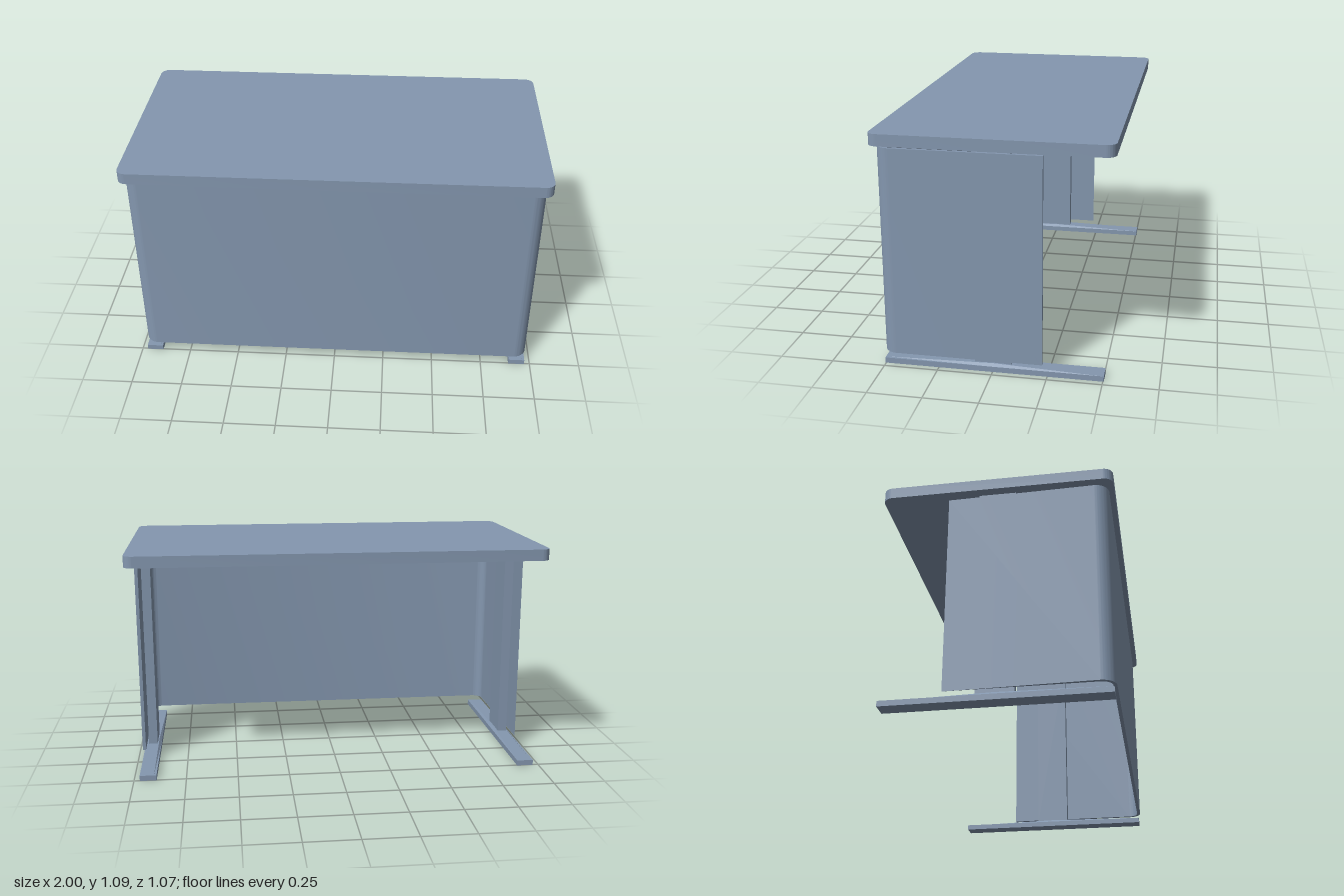
import * as THREE from 'three';
import { toCreasedNormals } from 'three/addons/utils/BufferGeometryUtils.js';

const material = new THREE.MeshStandardMaterial({ color: 0x8497af });

function addMesh(parent, name, geometry) {
  const mesh = new THREE.Mesh(geometry, material);
  mesh.name = name;
  parent.add(mesh);
  return mesh;
}

// Extrudes a plan drawn as (x, -z) upwards from y0 to y1
function extrudePlan(shape, y0, y1) {
  const g = new THREE.ExtrudeGeometry(shape, { depth: y1 - y0, bevelEnabled: false, curveSegments: 10 });
  g.rotateX(-Math.PI / 2);
  g.translate(0, y0, 0);
  return toCreasedNormals(g, Math.PI / 5);
}

function roundedRect(w, d, r) {
  const s = new THREE.Shape();
  s.absarc(w - r, d - r, r, 0, Math.PI / 2);
  s.absarc(-w + r, d - r, r, Math.PI / 2, Math.PI);
  s.absarc(-w + r, -d + r, r, Math.PI, Math.PI * 1.5);
  s.absarc(w - r, -d + r, r, Math.PI * 1.5, Math.PI * 2);
  s.closePath();
  return s;
}

// Thin U-shaped screen: front and both sides, open at the back
function screenPlan(w, front, back, r, t) {
  const s = new THREE.Shape();
  s.moveTo(-w, -back);
  s.absarc(-w + r, -front + r, r, Math.PI, Math.PI * 1.5, false);
  s.absarc(w - r, -front + r, r, Math.PI * 1.5, Math.PI * 2, false);
  s.lineTo(w, -back);
  s.lineTo(w - t, -back);
  s.absarc(w - r, -front + r, r - t, Math.PI * 2, Math.PI * 1.5, true);
  s.absarc(-w + r, -front + r, r - t, Math.PI * 1.5, Math.PI, true);
  s.lineTo(-w + t, -back);
  s.closePath();
  return s;
}

// Foot bar with chamfered top edges, rising gently from both ends to the middle
function footGeometry() {
  const half = 0.504, edge = 0.026, crown = 0.012;
  const g = new THREE.BoxGeometry(0.08, 1, half * 2, 3, 1, 2);
  const p = g.attributes.position;
  for (let i = 0; i < p.count; i++) {
    const x = p.getX(i), z = p.getZ(i);
    const inner = Math.abs(x) < 0.03;
    const rise = inner ? crown * (1 - Math.abs(z) / half) : 0;
    p.setY(i, p.getY(i) > 0 ? edge + rise : 0);
    if (inner) p.setX(i, Math.sign(x) * 0.028);
  }
  return toCreasedNormals(g, Math.PI / 18);
}

export function createModel() {
  const desk = new THREE.Group();
  desk.name = 'desk';

  addMesh(desk, 'tableTop', extrudePlan(roundedRect(1, 0.535, 0.045), 1.04, 1.094));
  addMesh(desk, 'modestyScreen', extrudePlan(screenPlan(0.975, 0.512, -0.227, 0.065, 0.016), 0.056, 1.027));

  // A post and foot at each end
  for (const [side, sign] of [['left', 1], ['right', -1]]) {
    const leg = new THREE.Group();
    leg.name = side + 'Leg';
    leg.position.x = sign * 0.932;
    addMesh(leg, side + 'Post', new THREE.BoxGeometry(0.045, 1.01, 0.17)).position.y = 0.535;
    addMesh(leg, side + 'Foot', footGeometry());
    desk.add(leg);
  }
  return desk;
}
